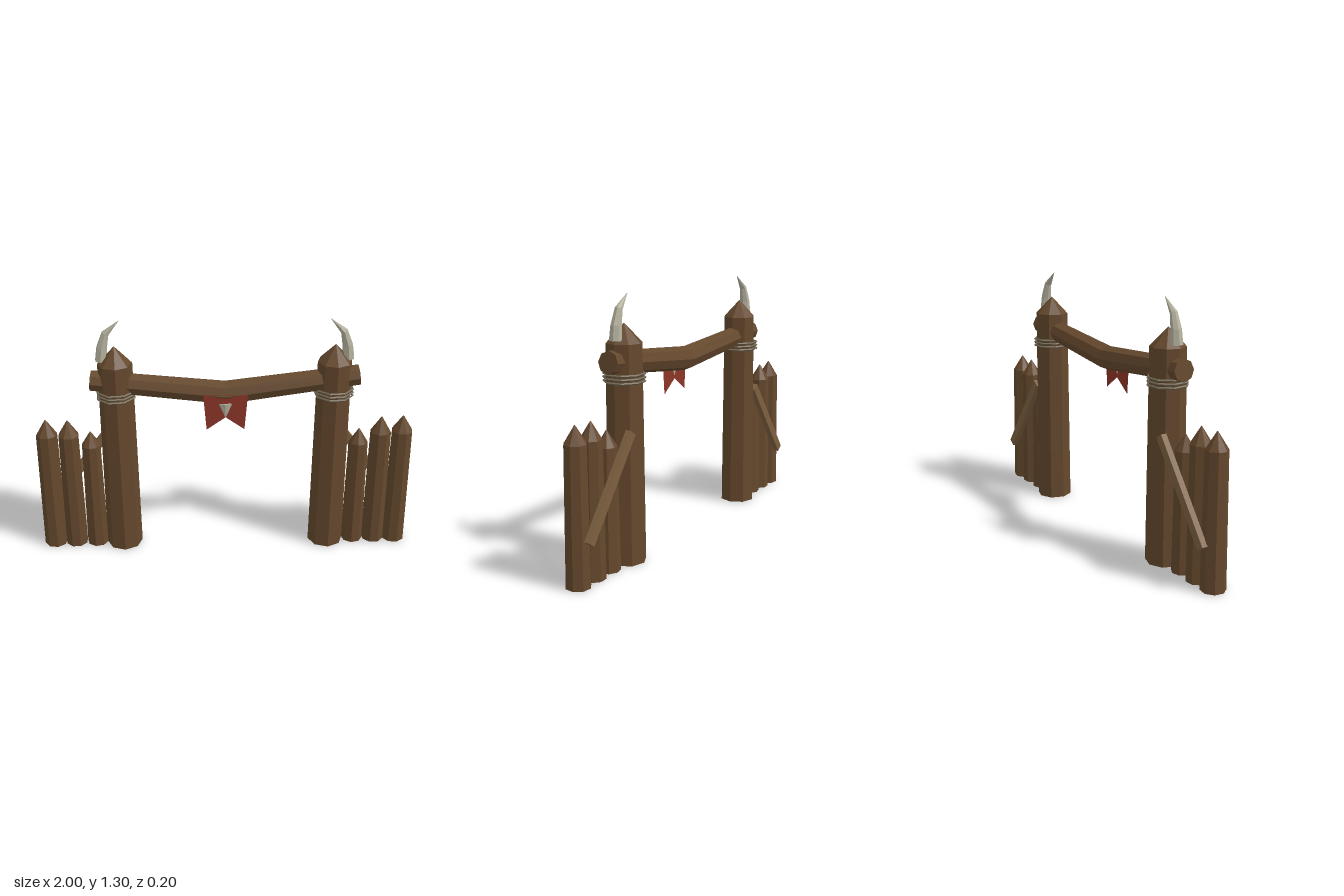
import * as THREE from 'three';

const paint = (color, side = THREE.FrontSide) =>
  new THREE.MeshStandardMaterial({ color, flatShading: true, side });

// Faceted solid swept through a list of [x, y, z] points with one radius per point
function loft(points, radii, sides, roll = 0) {
  const P = points.map(p => new THREE.Vector3(...p));
  const pos = [], index = [], n = P.length;
  P.forEach((p, k) => {
    const t = P[Math.min(k + 1, n - 1)].clone().sub(P[Math.max(k - 1, 0)]).normalize();
    const u = new THREE.Vector3(0, 0, 1).addScaledVector(t, -t.z).normalize();
    const v = t.clone().cross(u);
    for (let j = 0; j < sides; j++) {
      const a = roll + (j / sides) * Math.PI * 2;
      const q = p.clone()
        .addScaledVector(u, Math.cos(a) * radii[k])
        .addScaledVector(v, Math.sin(a) * radii[k]);
      pos.push(q.x, q.y, q.z);
    }
  });
  for (let k = 0; k < n - 1; k++) {
    for (let j = 0; j < sides; j++) {
      const a = k * sides + j, b = k * sides + (j + 1) % sides;
      index.push(a, b, b + sides, a, b + sides, a + sides);
    }
  }
  const last = (n - 1) * sides;
  for (let j = 1; j < sides - 1; j++) {
    index.push(0, j + 1, j, last, last + j, last + j + 1);
  }
  const g = new THREE.BufferGeometry();
  g.setAttribute('position', new THREE.Float32BufferAttribute(pos, 3));
  g.setIndex(index);
  const flat = g.toNonIndexed();
  flat.computeVertexNormals();
  return flat;
}

export function createModel() {
  const model = new THREE.Group();
  model.name = 'palisadeGate';
  const wood = paint(0x65482d), plank = paint(0x7d6040), rope = paint(0x736a55);
  const horn = paint(0xb5b29f), cloth = paint(0x8c3527, THREE.DoubleSide);

  const add = (parent, name, geometry, material) => {
    const mesh = new THREE.Mesh(geometry, material);
    mesh.name = name;
    parent.add(mesh);
    return mesh;
  };

  // Sharpened log: foot, shoulder and point
  const log = (x, topX, shoulder, tip, r0, r1, roll) =>
    loft([[x, 0, 0], [topX, shoulder, 0], [topX, tip, 0]], [r0, r1, 0.002], 8, roll);

  for (const s of [-1, 1]) {
    const side = new THREE.Group();
    side.name = s > 0 ? 'leftSide' : 'rightSide';
    model.add(side);

    // Main post
    add(side, 'post', log(s * 0.557, s * 0.555, 1.075, 1.165, 0.096, 0.088, 0.08), wood);

    // Rope lashing
    for (const y of [0.895, 0.913, 0.931]) {
      const ring = add(side, 'ropeRing', new THREE.TorusGeometry(0.099, 0.006, 4, 8), rope);
      ring.rotation.set(Math.PI / 2, 0, 0.3);
      ring.position.set(s * 0.557, y, 0);
    }

    // Fence stakes, from the outside in
    [
      [0.938, 0.933, 0.675, 0.76, 0.062, 0.055],
      [0.823, 0.82, 0.67, 0.755, 0.06, 0.054],
      [0.707, 0.705, 0.61, 0.688, 0.058, 0.05],
    ].forEach(([x, tx, sh, tip, r0, r1], i) =>
      add(side, 'stake', log(s * x, s * tx, sh, tip, r0, r1, 0.25 + i * 0.2), wood));

    // Diagonal brace on the back
    const from = new THREE.Vector2(0.61, 0.665), to = new THREE.Vector2(0.94, 0.22);
    const d = to.clone().sub(from);
    const brace = add(side, 'brace', new THREE.BoxGeometry(d.length(), 0.045, 0.03), plank);
    brace.position.set(s * (from.x + to.x) / 2, (from.y + to.y) / 2, -0.07);
    brace.rotation.z = s * Math.atan2(d.y, d.x);

    // Curved horn on the outer shoulder of the post
    add(side, 'horn', loft(
      [[s * 0.622, 1.09, 0], [s * 0.615, 1.16, 0], [s * 0.593, 1.235, 0], [s * 0.523, 1.303, 0]],
      [0.031, 0.027, 0.019, 0.001], 7), horn);
  }

  // Sagging crossbeam
  add(model, 'crossbeam', loft(
    [[-0.682, 0.982, 0], [0, 0.916, 0.02], [0.682, 0.998, 0]],
    [0.055, 0.063, 0.055], 8), wood);

  // Swallow-tailed banner
  const flag = new THREE.Shape([
    [-0.113, 0.928], [-0.097, 0.733], [0, 0.803], [0.097, 0.733], [0.113, 0.928],
  ].map(p => new THREE.Vector2(...p)));
  add(model, 'banner', new THREE.ShapeGeometry(flag), cloth).position.z = 0.079;

  // Fang hung on the banner
  const fang = add(model, 'fang', new THREE.ConeGeometry(0.034, 0.08, 4), horn);
  fang.rotation.x = Math.PI;
  fang.scale.z = 0.3;
  fang.position.set(0, 0.84, 0.081);

  return model;
}
